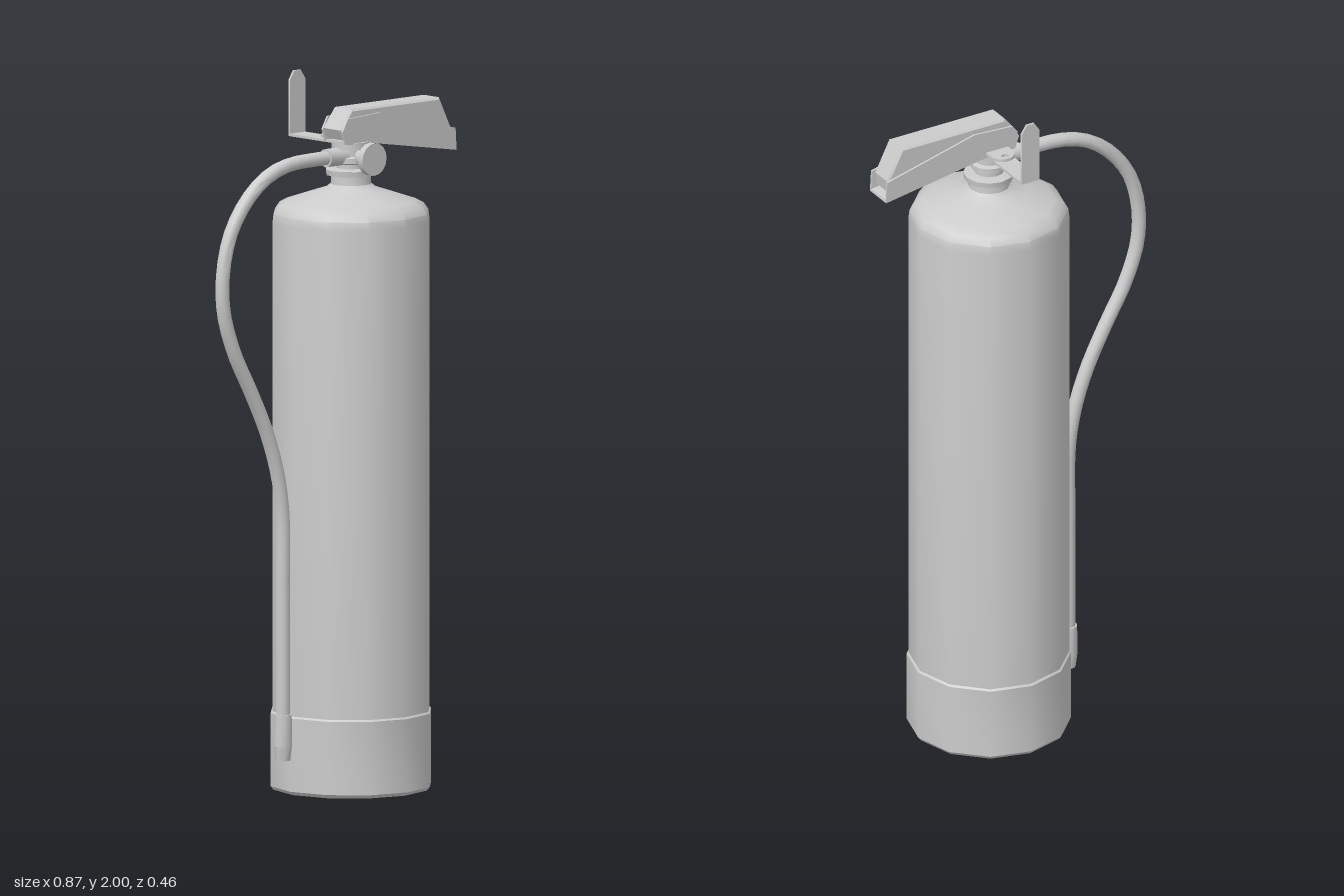
import * as THREE from 'three';
import { toCreasedNormals } from 'three/addons/utils/BufferGeometryUtils.js';

const CX = 0.072; // axis of the cylinder
const grey = new THREE.MeshStandardMaterial({ color: 0xcccccc, side: THREE.DoubleSide });

export function createModel() {
  const model = new THREE.Group();

  const add = (name, geometry, x = 0, y = 0, z = 0) => {
    const mesh = new THREE.Mesh(toCreasedNormals(geometry, 0.62), grey);
    mesh.name = name;
    mesh.position.set(x, y, z);
    model.add(mesh);
    return mesh;
  };
  const vectors = (pts) => pts.map(([x, y]) => new THREE.Vector2(x, y));
  const lathe = (name, pts, sides = 12) =>
    add(name, new THREE.LatheGeometry(vectors(pts), sides), CX);
  // Side outline drawn in x/y, extruded symmetrically about a z position
  const plate = (name, pts, width, z = 0, bevel = 0) => {
    const geometry = new THREE.ExtrudeGeometry(new THREE.Shape(vectors(pts)), {
      depth: width - 2 * bevel, bevelEnabled: bevel > 0, bevelSize: bevel,
      bevelOffset: -bevel, bevelThickness: bevel, bevelSegments: 1,
    });
    geometry.translate(0, 0, -width / 2 + bevel);
    return add(name, geometry, 0, 0, z);
  };

  // Tank with rounded shoulder and neck
  lathe('tank', [
    [0.225, 0.2], [0.225, 1.6], [0.222, 1.625], [0.208, 1.645], [0.185, 1.657],
    [0.11, 1.682], [0.07, 1.695], [0.058, 1.705], [0.056, 1.735],
  ]);

  // Base boot with a dished underside
  lathe('baseBoot', [
    [0, 0.05], [0.08, 0.045], [0.14, 0.03], [0.19, 0.005], [0.205, 0],
    [0.222, 0], [0.23, 0.01], [0.23, 0.217], [0.225, 0.222],
  ]);

  // Valve collar, stem and head
  lathe('valveCollar', [[0, 1.73], [0.07, 1.73], [0.072, 1.746], [0.05, 1.75], [0, 1.75]]);
  lathe('valveStem', [
    [0.042, 1.745], [0.042, 1.762], [0.052, 1.766], [0.052, 1.78],
    [0.038, 1.784], [0.038, 1.802], [0.055, 1.804], [0.055, 1.825], [0, 1.825],
  ]);

  // Front knob on its spindle
  const knob = add('knob', new THREE.CylinderGeometry(0.046, 0.046, 0.02, 16), CX, 1.782, 0.087);
  const spindle = add('knobSpindle', new THREE.CylinderGeometry(0.014, 0.014, 0.08, 12), CX, 1.782, 0.04);
  const boss = add('knobBoss', new THREE.CylinderGeometry(0.024, 0.024, 0.025, 12), CX, 1.782, 0.052);
  [knob, spindle, boss].forEach((part) => { part.rotation.x = Math.PI / 2; });

  // Lower carrying handle: two cheeks and a floor
  const cheek = [
    [0.013, 1.823], [0.125, 1.817], [0.434, 1.767], [0.43, 1.83],
    [0.145, 1.902], [0.02, 1.895], [0, 1.86],
  ];
  for (const z of [-0.041, 0.041]) plate('handleCheek', cheek, 0.006, z);
  plate('handleFloor', [
    [0.013, 1.823], [0.125, 1.817], [0.434, 1.767], [0.433, 1.774], [0.125, 1.825], [0.013, 1.831],
  ], 0.08);

  // Upper squeeze lever
  plate('squeezeLever', [
    [0.012, 1.835], [0.13, 1.835], [0.418, 1.79], [0.424, 1.828],
    [0.378, 1.92], [0.04, 1.92], [-0.004, 1.865],
  ], 0.074, 0, 0.006);

  // Safety tab with a pin hole behind the valve
  const tab = new THREE.Shape();
  tab.moveTo(-0.036, 0.02).lineTo(-0.036, 0.07);
  tab.absarc(0, 0.07, 0.036, Math.PI, 0, true);
  tab.lineTo(0.036, 0.02);
  const hole = new THREE.Path();
  hole.absarc(0, 0.088, 0.011, 0, Math.PI * 2, false);
  tab.holes.push(hole);
  const tabGeometry = new THREE.ExtrudeGeometry(tab, { depth: 0.008, bevelEnabled: false, curveSegments: 8 });
  add('safetyTab', tabGeometry.rotateX(-Math.PI / 2), CX, 1.828, 0);

  // Wall bracket: flat arm and upright tongue with a chamfered tip
  add('bracketArm', new THREE.BoxGeometry(0.06, 0.007, 0.2), CX, 1.82, -0.124);
  plate('bracketTongue', [
    [CX - 0.029, 1.817], [CX + 0.029, 1.817], [CX + 0.029, 1.975],
    [CX + 0.012, 2], [CX - 0.012, 2], [CX - 0.029, 1.975],
  ], 0.007, -0.222);

  // Hose from the valve round to the side of the tank
  const path = new THREE.CatmullRomCurve3([
    [0.03, 1.785], [-0.06, 1.785], [-0.165, 1.78], [-0.245, 1.755], [-0.32, 1.7],
    [-0.385, 1.61], [-0.415, 1.5], [-0.413, 1.39], [-0.373, 1.27], [-0.31, 1.155],
    [-0.25, 1.035], [-0.21, 0.92], [-0.189, 0.8], [-0.187, 0.6], [-0.187, 0.2],
  ].map(([x, y]) => new THREE.Vector3(x, y, 0)));
  add('hose', new THREE.TubeGeometry(path, 48, 0.02, 12));

  const fitting = add('hoseFitting', new THREE.CylinderGeometry(0.026, 0.026, 0.07, 12), 0.01, 1.785);
  fitting.rotation.z = Math.PI / 2;
  add('nozzleCollar', new THREE.CylinderGeometry(0.025, 0.026, 0.09, 12), -0.187, 0.187);
  add('nozzleTip', new THREE.CylinderGeometry(0.026, 0.021, 0.04, 12), -0.187, 0.122);

  return model;
}
